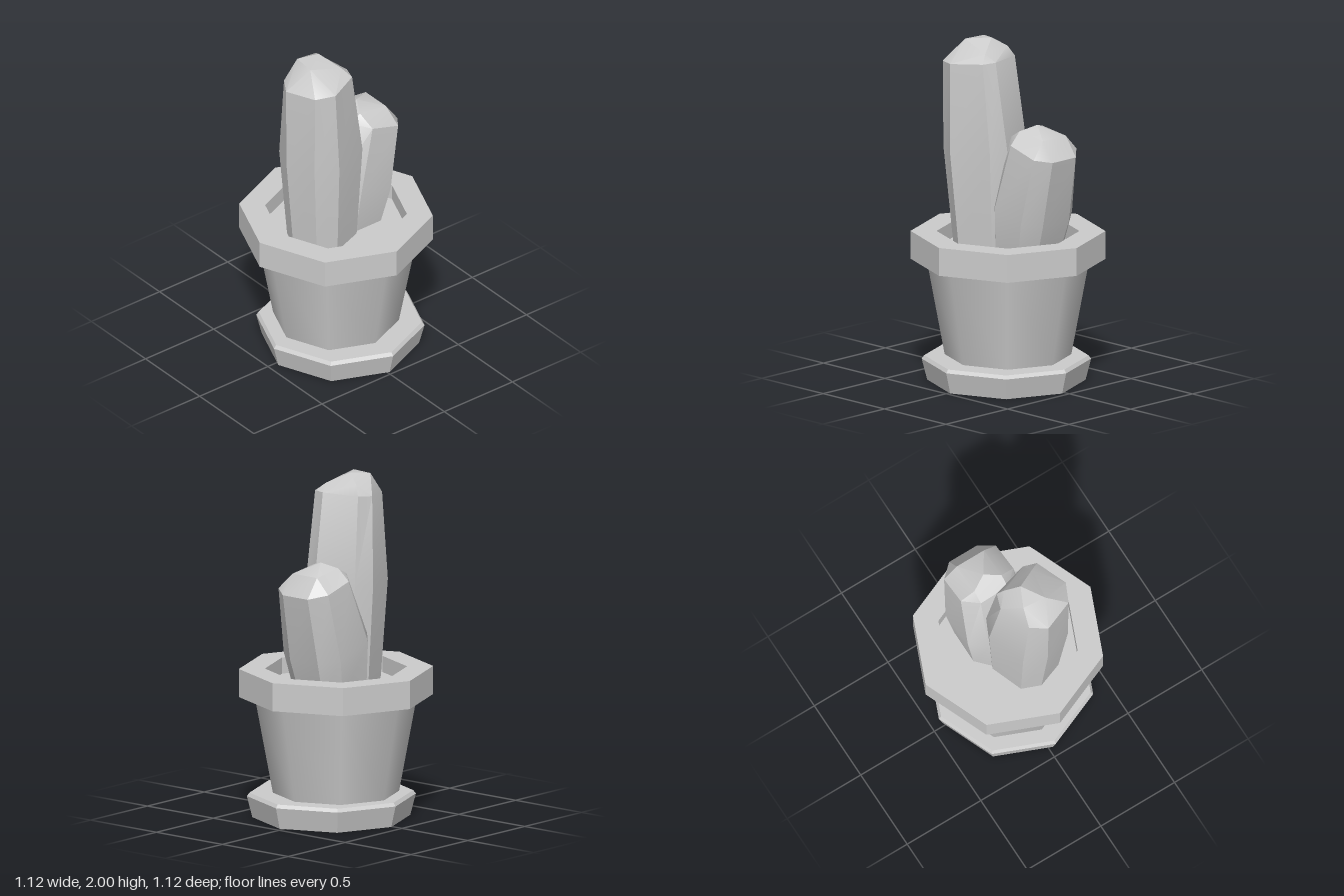
import * as THREE from 'three';
import { toCreasedNormals } from 'three/addons/utils/BufferGeometryUtils.js';

const SOIL_Y = 0.78;
const grey = (flatShading = false) => new THREE.MeshStandardMaterial({ color: 0xcccccc, flatShading });

// Eight-sided turned part from [radius, height] pairs, listed bottom to top
function turned(name, profile, flat = true) {
  const points = profile.map(([r, y]) => new THREE.Vector2(r, y));
  const mesh = new THREE.Mesh(new THREE.LatheGeometry(points, 8), grey(flat));
  mesh.name = name;
  return mesh;
}

// Level or tilted ring of 3D points from an [x, z] outline
const ring = (outline, y, tilt) => outline.map(([x, z]) => [x, y + tilt * z, z]);

// Base ring: the outline shrunk about its centre and moved to the soil
function baseRing(outline, from, to, scale) {
  return outline.map(([x, z]) => [to[0] + (x - from[0]) * scale, SOIL_Y - 0.02, to[1] + (z - from[1]) * scale]);
}

// Octagonal stem with narrow corner faces; each corner closes to a shoulder point below the tip
function cactus(name, rings, shoulders, tip) {
  const pos = [];
  const tri = (a, b, c) => pos.push(...a, ...b, ...c);
  const quad = (a, b, c, d) => { tri(a, b, c); tri(a, c, d); };
  for (let r = 0; r < rings.length - 1; r++) {
    const lo = rings[r], hi = rings[r + 1];
    for (let i = 0; i < 8; i++) {
      const j = (i + 1) % 8;
      quad(lo[j], lo[i], hi[i], hi[j]);
    }
  }
  const top = rings[rings.length - 1];
  for (let k = 0; k < 4; k++) {
    const s = shoulders[k], t = shoulders[(k + 1) % 4];
    tri(top[2 * k + 1], top[2 * k], s);
    quad(top[(2 * k + 2) % 8], top[2 * k + 1], s, t);
    tri(t, s, tip);
  }
  const geometry = new THREE.BufferGeometry();
  geometry.setAttribute('position', new THREE.Float32BufferAttribute(pos, 3));
  const mesh = new THREE.Mesh(toCreasedNormals(geometry, 0.5), grey());
  mesh.name = name;
  return mesh;
}

export function createModel() {
  const group = new THREE.Group();
  group.name = 'pottedCactus';

  // Saucer, slightly off centre
  const saucer = turned('saucer', [[0, 0], [0.455, 0], [0.487, 0.125], [0.472, 0.145], [0, 0.145]]);
  saucer.position.set(0.025, 0, -0.012);

  // Pot wall, rim and soil
  const pot = turned('potWall', [[0.363, 0.14], [0.47, 0.72]], false);
  const rim = turned('potRim', [[0.4, 0.71], [0.56, 0.71], [0.56, 0.875], [0.41, 0.875], [0.41, SOIL_Y]]);
  const soil = turned('soil', [[0.412, SOIL_Y], [0, SOIL_Y]]);

  // Tall cactus at the front, outlines run left, back, right, front
  const tallMid = [[-0.193, 0.103], [-0.146, -0.004], [0.089, -0.085], [0.19, -0.043],
    [0.277, 0.195], [0.205, 0.32], [0.027, 0.385], [-0.107, 0.332]];
  const tallTop = [[-0.145, 0.15], [-0.115, 0.06], [0.1, 0], [0.18, 0.025],
    [0.26, 0.21], [0.21, 0.32], [0.03, 0.39], [-0.065, 0.33]];
  const tall = cactus('tallCactus',
    [baseRing(tallMid, [0.042, 0.15], [0.032, 0.133], 0.83), ring(tallMid, 1.37, -0.04), ring(tallTop, 1.89, -0.08)],
    [[-0.08, 1.945, 0.085], [0.125, 1.935, 0.06], [0.09, 1.985, 0.26], [-0.05, 1.985, 0.245]],
    [0.003, 2, 0.13]);

  // Short cactus leaning backwards
  const shortMid = [[-0.26, -0.26], [-0.155, -0.34], [0.055, -0.34], [0.164, -0.27],
    [0.164, -0.058], [0.06, 0.06], [-0.175, 0.07], [-0.26, -0.02]];
  const shortTop = [[-0.226, -0.33], [-0.14, -0.412], [0.048, -0.412], [0.137, -0.347],
    [0.137, -0.16], [0.045, -0.075], [-0.14, -0.07], [-0.226, -0.15]];
  const short = cactus('shortCactus',
    [baseRing(shortMid, [-0.048, -0.135], [-0.048, -0.1], 0.86), ring(shortMid, 1.07, 0.3), ring(shortTop, 1.48, 0.29)],
    [[-0.14, 1.475, -0.33], [0.045, 1.475, -0.33], [0.045, 1.5, -0.14], [-0.14, 1.5, -0.14]],
    [-0.048, 1.53, -0.19]);

  group.add(saucer, pot, rim, soil, tall, short);
  return group;
}
